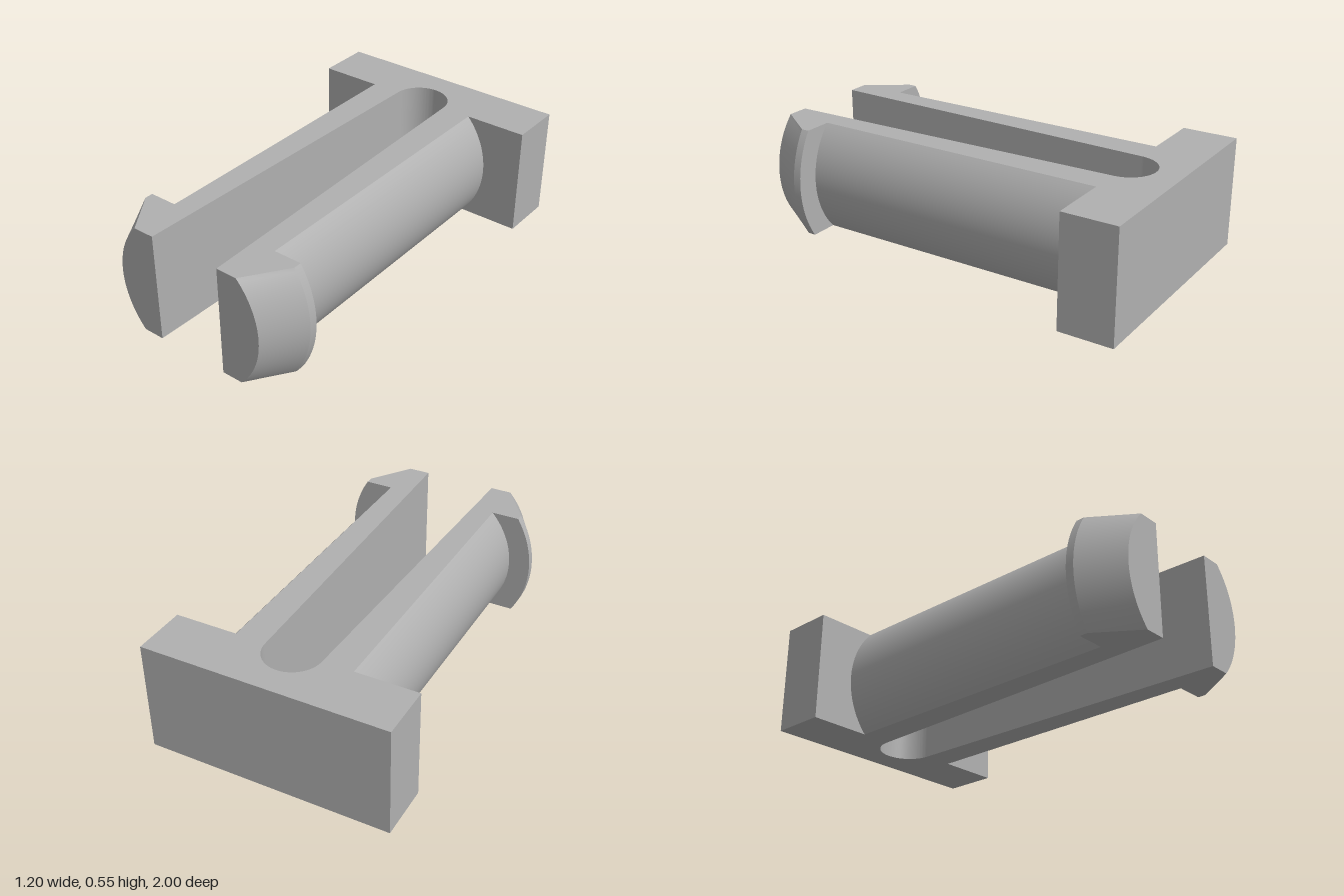
import * as THREE from 'three';
import { toCreasedNormals } from 'three/addons/utils/BufferGeometryUtils.js';

const HEIGHT = 0.55, MID = HEIGHT / 2;
const HEAD_FRONT = -0.73, SLOT_R = 0.14;

// Prong: a round shaft with a barbed tip, cut flat above, below and along the slot.
// Each station is [z, outer radius]; side is +1 (left) or -1 (right).
function prongGeometry(side) {
  const stations = [[HEAD_FRONT, 0.4], [0.76, 0.4], [0.76, 0.51], [0.8, 0.51], [1, 0.4]];
  const steps = 32;
  const loops = stations.map(([z, r]) => {
    const inner = SLOT_R + (0.185 - SLOT_R) * (z - HEAD_FRONT) / (1 - HEAD_FRONT);
    const limit = Math.asin(MID / r);
    const loop = [new THREE.Vector3(side * inner, 0, z)];
    for (let i = 0; i <= steps; i++) {
      const a = limit * (2 * i / steps - 1);
      loop.push(new THREE.Vector3(side * r * Math.cos(a), MID + r * Math.sin(a), z));
    }
    loop.push(new THREE.Vector3(side * inner, HEIGHT, z));
    return loop;
  });

  const points = [];
  const tri = (a, b, c) => {
    if (new THREE.Triangle(a, b, c).getArea() < 1e-7) return;
    points.push(...(side > 0 ? [a, b, c] : [a, c, b]));
  };
  const n = loops[0].length;
  for (let k = 0; k < loops.length - 1; k++) {
    for (let j = 0; j < n; j++) {
      const m = (j + 1) % n;
      tri(loops[k][j], loops[k][m], loops[k + 1][m]);
      tri(loops[k][j], loops[k + 1][m], loops[k + 1][j]);
    }
  }
  // Flat end of the tip
  const tip = loops[loops.length - 1];
  for (let j = 1; j < n - 1; j++) tri(tip[0], tip[j], tip[j + 1]);

  const geometry = new THREE.BufferGeometry().setFromPoints(points);
  return toCreasedNormals(geometry, 0.3);
}

// Head: a rectangular block with the rounded end of the slot cut into its front.
function headGeometry() {
  const z = -HEAD_FRONT;
  const shape = new THREE.Shape();
  shape.moveTo(-0.6, z);
  shape.lineTo(-SLOT_R, z);
  shape.absarc(0, z, SLOT_R, Math.PI, 0, true);
  shape.lineTo(0.6, z);
  shape.lineTo(0.6, 1);
  shape.lineTo(-0.6, 1);
  shape.closePath();
  const geometry = new THREE.ExtrudeGeometry(shape, { depth: HEIGHT, bevelEnabled: false, curveSegments: 32 });
  geometry.rotateX(-Math.PI / 2);
  return toCreasedNormals(geometry, 0.3);
}

export function createModel() {
  const plastic = new THREE.MeshStandardMaterial({ color: 0xb0b0b0 });
  plastic.name = 'grey plastic';
  const model = new THREE.Group();
  model.name = 'snapFitClip';
  const add = (name, geometry) => {
    const mesh = new THREE.Mesh(geometry, plastic);
    mesh.name = name;
    model.add(mesh);
  };
  add('head', headGeometry());
  add('leftProng', prongGeometry(1));
  add('rightProng', prongGeometry(-1));
  return model;
}
